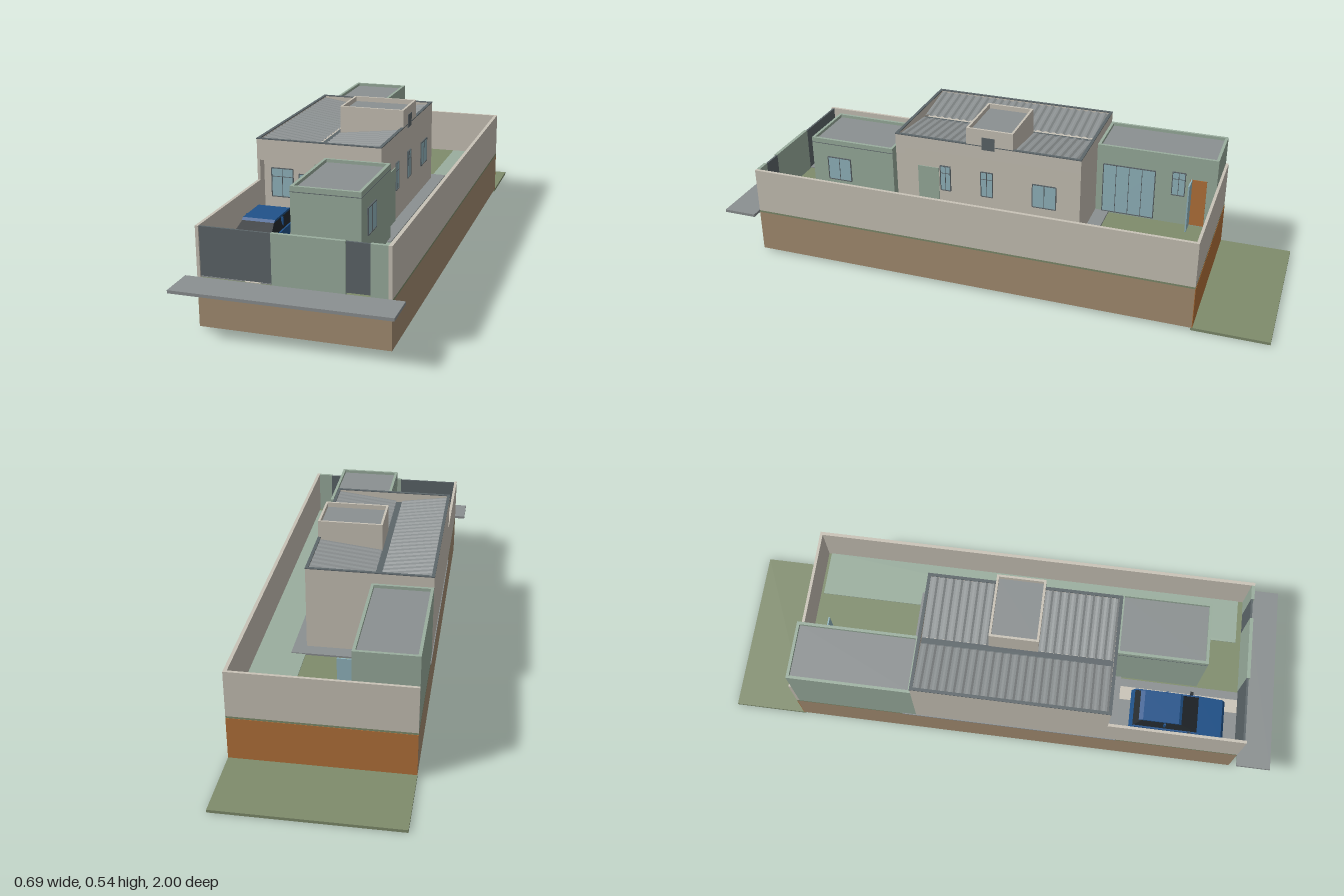
import * as THREE from 'three';

const mat = (name, hex, side = THREE.FrontSide) => {
  const m = new THREE.MeshStandardMaterial({ color: hex, side });
  m.name = name;
  return m;
};

export function createModel() {
  const M = {
    earth: mat('earth', 0xa58e72),
    clay: mat('clay', 0xb4733a),
    cream: mat('cream plaster', 0xc9c3b7),
    sage: mat('sage plaster', 0x9aae9e),
    dark: mat('dark metal', 0x5d666a),
    grey: mat('concrete', 0x8b9091, THREE.DoubleSide),
    glass: mat('glass', 0x93b7c0),
    blue: mat('car paint', 0x20528a),
    grass: mat('grass', 0x7f8c6c),
    black: mat('rubber', 0x22282c),
  };
  const model = new THREE.Group();

  // Box from its lower and upper bounds
  const box = (name, m, x0, x1, y0, y1, z0, z1, parent = model) => {
    const mesh = new THREE.Mesh(new THREE.BoxGeometry(x1 - x0, y1 - y0, z1 - z0), m);
    mesh.position.set((x0 + x1) / 2, (y0 + y1) / 2, (z0 + z1) / 2);
    mesh.name = name;
    parent.add(mesh);
    return mesh;
  };
  // Four thin walls around a rectangle
  const ring = (name, m, x0, x1, y0, y1, z0, z1, t) => {
    const g = new THREE.Group();
    g.name = name;
    box('leftSide', m, x0, x0 + t, y0, y1, z0, z1, g);
    box('rightSide', m, x1 - t, x1, y0, y1, z0, z1, g);
    box('backSide', m, x0 + t, x1 - t, y0, y1, z0, z0 + t, g);
    box('frontSide', m, x0 + t, x1 - t, y0, y1, z1 - t, z1, g);
    model.add(g);
  };
  // Solid room with a parapet and a sunken flat roof
  const room = (name, m, x0, x1, y0, y1, z0, z1, drop, t = 0.01) => {
    box(name, m, x0, x1, y0, y1 - drop, z0, z1);
    ring(name + 'Parapet', m, x0, x1, y1 - drop, y1, z0, z1, t);
    box(name + 'Roof', M.grey, x0 + t, x1 - t, y1 - drop, y1 - drop + 0.003, z0 + t, z1 - t);
  };
  // Framed window facing +z, or +x when turned
  const windowAt = (x, y, z, w, h, turned = false, bars = 1, transom = true) => {
    const g = new THREE.Group();
    g.name = 'window';
    const b = 0.003;
    box('pane', M.glass, -w / 2, w / 2, -h / 2, h / 2, 0, 0.002, g);
    for (const s of [-1, 1]) {
      box('frameSide', M.dark, s * w / 2 - b / 2, s * w / 2 + b / 2, -h / 2, h / 2, 0, 0.004, g);
      box('frameRail', M.dark, -w / 2, w / 2, s * h / 2 - b / 2, s * h / 2 + b / 2, 0, 0.004, g);
    }
    for (let i = 1; i <= bars; i++) {
      const bx = -w / 2 + (w * i) / (bars + 1);
      box('mullion', M.dark, bx - 0.001, bx + 0.001, -h / 2, h / 2, 0, 0.0035, g);
    }
    if (transom) box('transom', M.dark, -w / 2, w / 2, h * 0.2, h * 0.2 + 0.002, 0, 0.0035, g);
    g.position.set(x, y, z);
    if (turned) g.rotation.y = Math.PI / 2;
    model.add(g);
  };

  // Ground, pavement and paving
  box('earthBlock', M.earth, -0.305, 0.305, 0.01, 0.163, -0.739, 0.88);
  box('clayBackFace', M.clay, -0.305, 0.305, 0.01, 0.163, -0.741, -0.739);
  box('lawn', M.grass, -0.305, 0.305, 0.163, 0.17, -0.74, 0.88);
  box('backField', M.grass, -0.305, 0.305, 0, 0.01, -1, -0.735);
  box('pavement', M.grey, -0.345, 0.345, 0.162, 0.172, 0.88, 1);
  box('sidePath', M.sage, 0.125, 0.295, 0.17, 0.173, -0.72, 0.85);
  box('patio', M.grey, -0.308, 0.175, 0.17, 0.176, -0.345, 0.437);
  box('driveway', M.grey, -0.295, -0.07, 0.17, 0.173, 0.437, 0.872);
  box('drivewayStrip', M.cream, -0.15, -0.1, 0.173, 0.1745, 0.437, 0.881);

  // Boundary walls and street front
  const top = 0.335;
  box('rightWall', M.cream, 0.293, 0.305, 0.17, top, -0.74, 0.88);
  box('backWall', M.cream, -0.305, 0.293, 0.17, top, -0.74, -0.73);
  box('leftWall', M.cream, -0.305, -0.295, 0.17, top, 0.395, 0.88);
  box('carGate', M.dark, -0.295, -0.065, 0.175, 0.333, 0.868, 0.875);
  box('frontWall', M.sage, -0.065, 0.165, 0.17, top, 0.868, 0.88);
  box('streetDoor', M.dark, 0.165, 0.24, 0.175, 0.333, 0.868, 0.875);
  box('frontWallEnd', M.sage, 0.24, 0.293, 0.17, top, 0.868, 0.88);

  // Main house with a recessed porch
  box('houseBody', M.cream, -0.305, 0.13, 0.172, 0.43, -0.295, 0.36);
  box('porchLintel', M.cream, -0.305, 0.13, 0.405, 0.43, 0.36, 0.395);
  box('porchSide', M.cream, -0.305, -0.295, 0.172, 0.405, 0.36, 0.395);
  box('porchReturn', M.sage, -0.1, -0.06, 0.172, 0.405, 0.36, 0.395);
  box('houseFront', M.cream, -0.06, 0.13, 0.172, 0.405, 0.36, 0.395);
  ring('houseParapet', M.cream, -0.305, 0.13, 0.43, 0.477, -0.295, 0.395, 0.009);
  ring('houseCoping', M.dark, -0.306, 0.131, 0.477, 0.48, -0.296, 0.396, 0.011);

  // Corrugated roof slopes falling to a valley gutter
  const slope = (name, x0, x1, ya, yb) => {
    const n = 92;
    const geo = new THREE.PlaneGeometry(x1 - x0, 0.672, 1, n);
    geo.rotateX(-Math.PI / 2);
    const p = geo.attributes.position;
    for (let i = 0; i < p.count; i++) {
      const row = Math.floor(i / 2);
      p.setY(i, (i % 2 ? yb : ya) + (row % 4 < 2 ? 0 : 0.004));
    }
    const flat = geo.toNonIndexed();
    flat.computeVertexNormals();
    const mesh = new THREE.Mesh(flat, M.grey);
    mesh.position.set((x0 + x1) / 2, 0, 0.05);
    mesh.name = name;
    model.add(mesh);
  };
  slope('leftRoofSlope', -0.296, -0.122, 0.471, 0.445);
  slope('rightRoofSlope', -0.1, 0.121, 0.445, 0.471);
  box('valleyGutter', M.dark, -0.124, -0.098, 0.43, 0.44, -0.286, 0.386);

  // Water tank tower
  room('tankTower', M.cream, -0.1, 0.13, 0.43, 0.541, -0.05, 0.123, 0.02, 0.008);
  box('towerVent', M.dark, 0.13, 0.132, 0.465, 0.512, 0.018, 0.065);

  // Front and back rooms
  room('frontRoom', M.sage, -0.065, 0.162, 0.172, 0.43, 0.395, 0.716, 0.014);
  ring('frontRoomBand', M.dark, -0.066, 0.163, 0.411, 0.413, 0.395, 0.717, 0.004);
  room('backRoom', M.sage, -0.305, -0.095, 0.17, 0.44, -0.73, -0.295, 0.014);

  // Windows and doors
  windowAt(-0.229, 0.32, 0.36, 0.077, 0.1, false, 1);
  windowAt(-0.135, 0.266, 0.36, 0.068, 0.178, false, 1, false);
  windowAt(0.13, 0.33, 0.205, 0.038, 0.096, true);
  windowAt(0.13, 0.33, 0.048, 0.044, 0.096, true);
  windowAt(0.13, 0.317, -0.165, 0.086, 0.088, true, 1, false);
  windowAt(0.162, 0.317, 0.61, 0.09, 0.088, true, 1, false);
  windowAt(-0.095, 0.272, -0.415, 0.19, 0.19, true, 3, false);
  windowAt(-0.095, 0.33, -0.595, 0.046, 0.09, true);
  box('sideDoor', M.sage, 0.13, 0.133, 0.176, 0.367, 0.23, 0.31);
  box('backDoorway', M.clay, -0.095, -0.093, 0.174, 0.355, -0.695, -0.635);
  box('openDoorLeaf', M.glass, -0.094, -0.035, 0.174, 0.355, -0.643, -0.638);

  // Parked car: side profile extruded across, cabin narrowing upward
  const car = new THREE.Group();
  car.name = 'car';
  const profile = (name, pts, width, m) => {
    const shape = new THREE.Shape(pts.map(([z, y]) => new THREE.Vector2(z, y)));
    const geo = new THREE.ExtrudeGeometry(shape, { depth: width, bevelEnabled: false });
    geo.translate(0, 0, -width / 2).rotateY(-Math.PI / 2);
    const p = geo.attributes.position;
    for (let i = 0; i < p.count; i++) {
      if (p.getY(i) > 0.085) p.setX(i, p.getX(i) * 0.8);
    }
    geo.computeVertexNormals();
    const mesh = new THREE.Mesh(geo, m);
    mesh.name = name;
    car.add(mesh);
  };
  profile('body', [[-0.165, 0.02], [0.165, 0.02], [0.17, 0.045], [0.16, 0.062],
    [0.07, 0.076], [-0.155, 0.078], [-0.17, 0.05]], 0.142, M.blue);
  profile('cabinGlass', [[0.075, 0.074], [0.005, 0.112], [-0.125, 0.112], [-0.158, 0.076]], 0.132, M.black);
  profile('cabinRoof', [[0.012, 0.11], [0.002, 0.117], [-0.125, 0.117], [-0.14, 0.11]], 0.136, M.blue);
  for (const s of [-1, 1]) {
    for (const z of [-0.1, 0.105]) {
      const wheel = new THREE.Mesh(new THREE.CylinderGeometry(0.027, 0.027, 0.02, 16), M.black);
      wheel.rotation.z = Math.PI / 2;
      wheel.position.set(s * 0.064, 0.027, z);
      wheel.name = 'wheel';
      car.add(wheel);
    }
    box('mirror', M.black, s * 0.076 - 0.006, s * 0.076 + 0.006, 0.074, 0.084, 0.04, 0.05, car);
    box('doorPillar', M.blue, s * 0.06 - 0.003, s * 0.06 + 0.003, 0.076, 0.112, -0.05, -0.042, car);
  }
  car.position.set(-0.198, 0.173, 0.645);
  model.add(car);

  return model;
}
